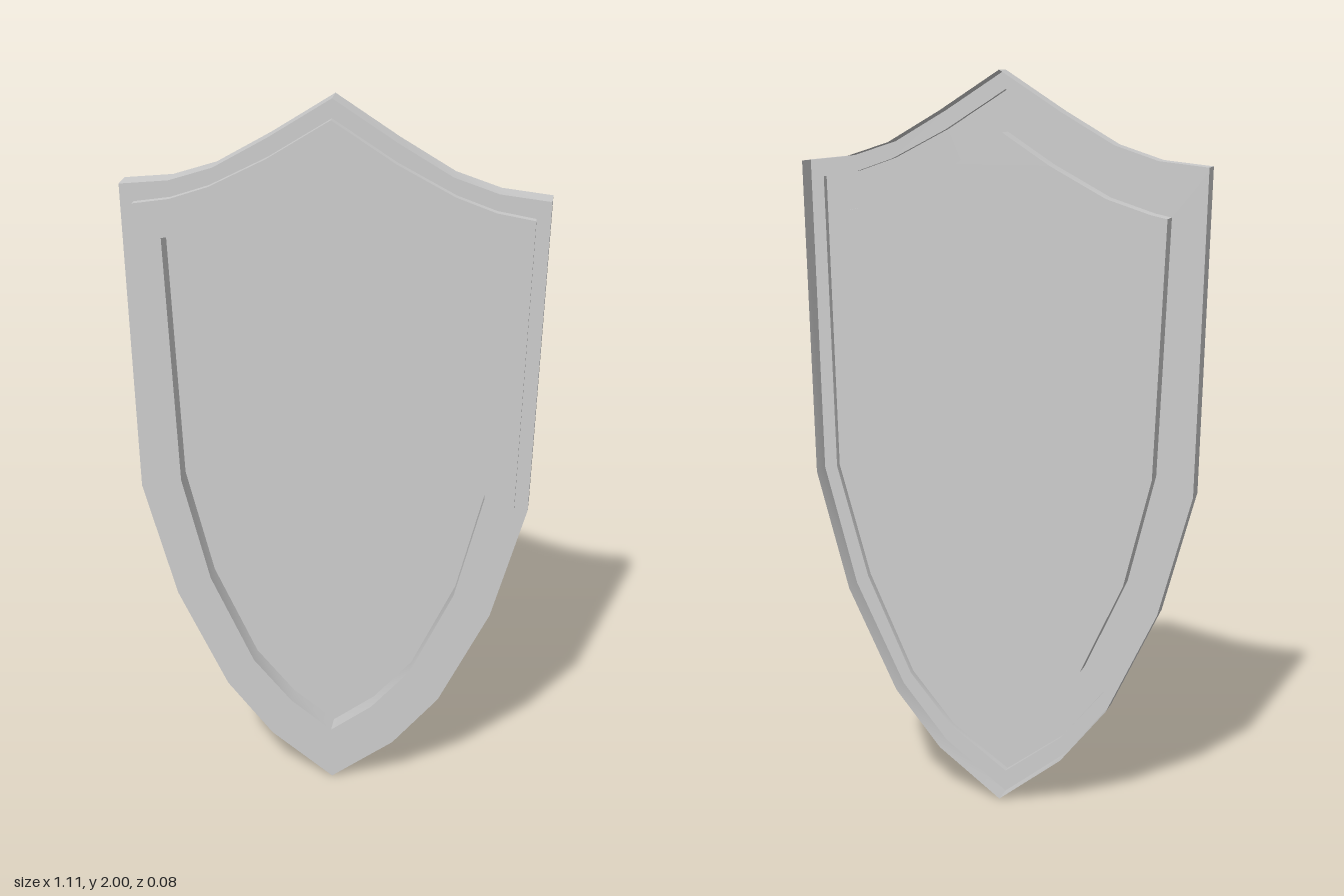
import * as THREE from 'three';
import { toCreasedNormals } from 'three/addons/utils/BufferGeometryUtils.js';

// Half outlines, from the top point down the +x side to the bottom tip
const OUTER = [[0, 2], [0.164, 1.895], [0.307, 1.812], [0.423, 1.774], [0.553, 1.76],
  [0.53, 0.905], [0.44, 0.575], [0.303, 0.29], [0.175, 0.133], [0, 0]];
const MIDDLE = [[0, 1.95], [0.165, 1.845], [0.315, 1.767], [0.418, 1.731], [0.516, 1.715],
  [0.494, 0.91], [0.406, 0.598], [0.281, 0.322], [0.16, 0.176], [0, 0.06]];
const INNER = [[0, 1.84], [0.127, 1.757], [0.28, 1.674], [0.4, 1.635], [0.443, 1.626],
  [0.414, 0.938], [0.34, 0.64], [0.222, 0.385], [0.115, 0.26], [0, 0.172]];

// Closed clockwise outline made by mirroring a half outline
function mirrored(half) {
  const other = half.slice(1, -1).reverse().map(([x, y]) => [-x, y]);
  return [...half, ...other];
}

// Band of quads joining two outlines at their own depths
function band(from, zFrom, to, zTo) {
  const a = mirrored(from), b = mirrored(to), positions = [];
  for (let i = 0; i < a.length; i++) {
    const j = (i + 1) % a.length;
    const ai = [...a[i], zFrom], aj = [...a[j], zFrom];
    const bi = [...b[i], zTo], bj = [...b[j], zTo];
    positions.push(...ai, ...bi, ...bj, ...ai, ...bj, ...aj);
  }
  const geometry = new THREE.BufferGeometry();
  geometry.setAttribute('position', new THREE.Float32BufferAttribute(positions, 3));
  geometry.computeVertexNormals();
  return toCreasedNormals(geometry, 0.5);
}

export function createModel() {
  const shield = new THREE.Group();
  shield.name = 'shield';
  const material = new THREE.MeshStandardMaterial({ color: 0xcccccc, side: THREE.DoubleSide });
  const add = (name, geometry) => {
    const mesh = new THREE.Mesh(geometry, material);
    mesh.name = name;
    shield.add(mesh);
    return mesh;
  };

  // Thin hollow shell, open at the back: stepped rim around a sunken panel
  const back = -0.04, ledge = 0.02, front = 0.04, sunken = -0.015;
  add('outerWall', band(OUTER, back, OUTER, ledge));
  add('outerLedge', band(OUTER, ledge, MIDDLE, ledge));
  add('rimStep', band(MIDDLE, ledge, MIDDLE, front));
  add('rimFace', band(MIDDLE, front, INNER, front));
  add('recessWall', band(INNER, front, INNER, sunken));

  // Flat centre panel
  const shape = new THREE.Shape(mirrored(INNER).map(([x, y]) => new THREE.Vector2(x, y)));
  add('centrePanel', new THREE.ShapeGeometry(shape)).position.z = sunken;

  return shield;
}
